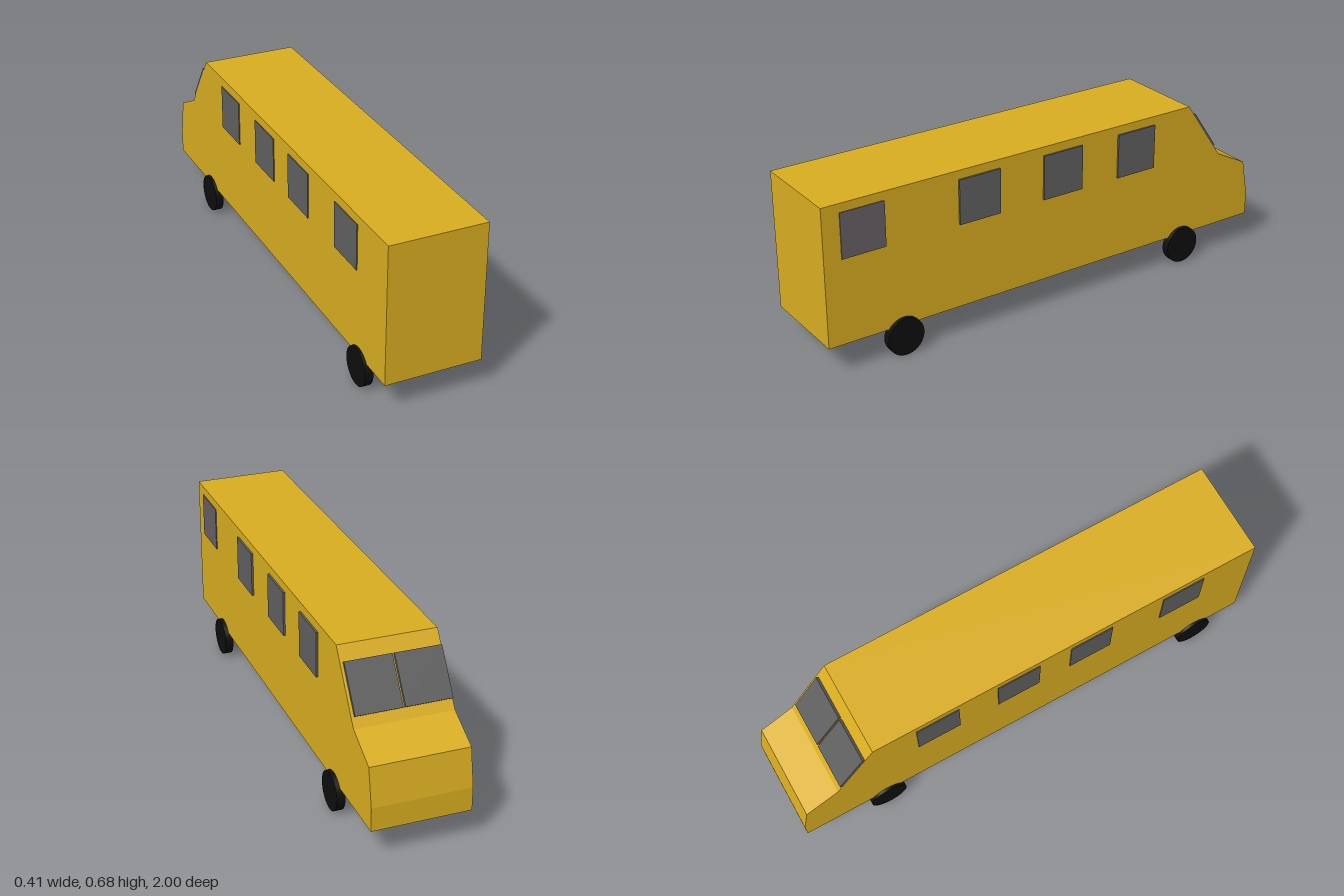
import * as THREE from 'three';

const paint = new THREE.MeshStandardMaterial({ color: 0xd9ad20 });
const glass = new THREE.MeshStandardMaterial({ color: 0x606060 });
const tintedGlass = new THREE.MeshStandardMaterial({ color: 0x686066 });
const rubber = new THREE.MeshStandardMaterial({ color: 0x0e0e0e });

export function createModel() {
  const group = new THREE.Group();
  const add = (name, geometry, material, x = 0, y = 0, z = 0) => {
    const mesh = new THREE.Mesh(geometry, material);
    mesh.name = name;
    mesh.position.set(x, y, z);
    group.add(mesh);
    return mesh;
  };

  // Body: side profile as [z, y], nose towards -z, extruded across the width
  const profile = [[1, 0.12], [-1, 0.12], [-1, 0.215], [-0.972, 0.365],
    [-0.83, 0.437], [-0.66, 0.684], [1, 0.684]];
  const shape = new THREE.Shape(profile.map(([z, y]) => new THREE.Vector2(-z, y)));
  const body = new THREE.ExtrudeGeometry(shape, { depth: 0.387, bevelEnabled: false });
  body.rotateY(Math.PI / 2);
  add('body', body, paint, -0.197);

  // Side windows, spaced differently on each side
  const pane = new THREE.BoxGeometry(0.02, 0.183, 0.181);
  for (const z of [-0.39, -0.035, 0.345, 0.838])
    add('leftWindow', pane, z > 0.8 ? tintedGlass : glass, z > 0.8 ? 0.184 : 0.188, 0.557, z);
  for (const z of [-0.39, -0.042, 0.275, 0.682])
    add('rightWindow', pane, glass, -0.191, 0.557, z);

  // Split windscreen lying on the sloped face
  const slope = Math.atan2(0.17, 0.247);
  const screen = new THREE.BoxGeometry(0.183, 0.195, 0.016);
  for (const x of [-0.104, 0.087])
    add('windscreenPane', screen, glass, x, 0.554, -0.754).rotation.x = slope;

  // Wheels, the rear pair staggered
  const wheel = new THREE.CylinderGeometry(0.077, 0.077, 0.033, 40);
  wheel.rotateZ(Math.PI / 2);
  add('frontLeftWheel', wheel, rubber, 0.19, 0.077, -0.642);
  add('frontRightWheel', wheel, rubber, -0.192, 0.077, -0.642);
  add('rearLeftWheel', wheel, rubber, 0.19, 0.077, 0.686);
  add('rearRightWheel', wheel, rubber, -0.192, 0.077, 0.795);

  return group;
}
